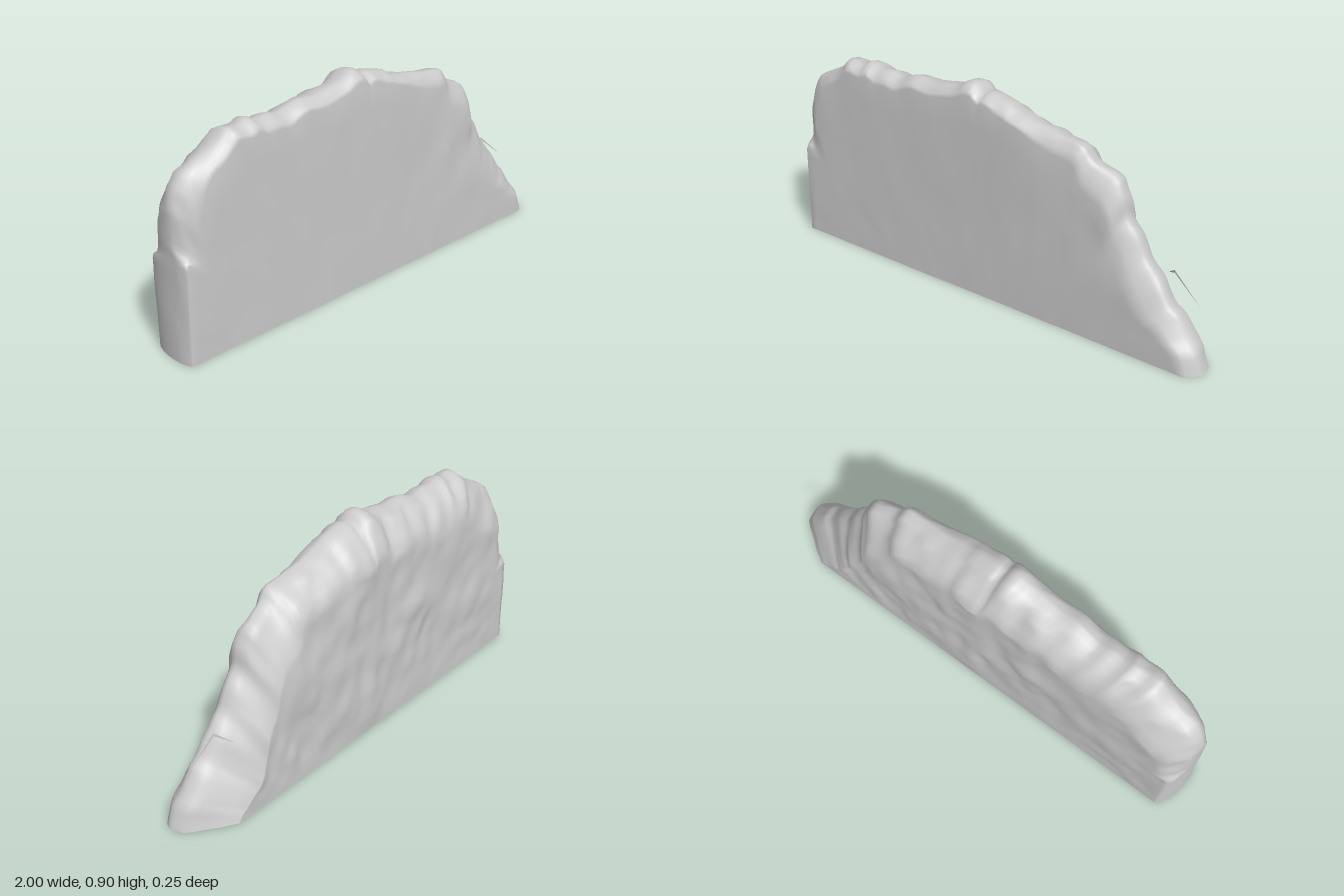
import * as THREE from 'three';

const { smoothstep: smooth, lerp } = THREE.MathUtils;

// Seeded value noise, -1..1
function hash(i, j, seed) {
  const h = Math.sin(i * 127.1 + j * 311.7 + seed * 74.7) * 43758.5453;
  return (h - Math.floor(h)) * 2 - 1;
}
function noise(x, y, seed) {
  const i = Math.floor(x), j = Math.floor(y);
  const u = smooth(x - i, 0, 1), v = smooth(y - j, 0, 1);
  return lerp(
    lerp(hash(i, j, seed), hash(i + 1, j, seed), u),
    lerp(hash(i, j + 1, seed), hash(i + 1, j + 1, seed), u), v);
}
// Broad lumps with smaller chips on top
const rough = (x, y, seed) => 0.65 * noise(x * 7, y * 7, seed) + 0.35 * noise(x * 16, y * 16, seed + 5);

// Silhouette of the slab from its right foot, over the crest, to its left foot
const OUTLINE = [
  [0.995, 0], [0.965, 0.085], [0.92, 0.14], [0.87, 0.21], [0.84, 0.23], [0.79, 0.31],
  [0.72, 0.39], [0.68, 0.47], [0.63, 0.53], [0.62, 0.6], [0.58, 0.675], [0.47, 0.72],
  [0.43, 0.775], [0.33, 0.785], [0.2, 0.81], [0.12, 0.83], [0.09, 0.85], [-0.02, 0.875],
  [-0.04, 0.86], [-0.08, 0.9], [-0.12, 0.895], [-0.16, 0.87], [-0.3, 0.845], [-0.39, 0.85],
  [-0.48, 0.82], [-0.53, 0.835], [-0.6, 0.83], [-0.64, 0.85], [-0.68, 0.83], [-0.75, 0.84],
  [-0.81, 0.785], [-0.88, 0.75], [-0.94, 0.72], [-0.98, 0.67], [-1, 0.6], [-1, 0.45],
  [-1, 0.2], [-1, 0],
].map(([x, y]) => new THREE.Vector2(x, y));

const FRONT_ROWS = 8; // rows up the flat front
const BACK_ROWS = 18; // rows down the rough back
const EDGE_ROWS = 5;  // rows around each half of the worn edge

function frontZ(x, y) {
  const worn = smooth(x, 0.05, 0.4) * smooth(y, 0.2, 0.45);
  return lerp(0.106, 0.124, (x + 1) / 2) + 0.002 * rough(x, y, 3) + worn * (0.01 * rough(x, y, 8) - 0.008);
}
function backZ(x, y) {
  const lumpy = smooth(y, 0, 0.12) * lerp(0.5, 1, smooth(x, -0.7, -0.2));
  return -0.118 + 0.014 * smooth(y, 0.1, 0.75) + 0.019 * lumpy * rough(x, y, 6);
}

// One cross-section: up the front face, over the worn edge, down the back
function section(tip, t) {
  const { x, y } = tip;
  const base = new THREE.Vector2(lerp(0.72, -0.78, t), 0);
  const dir = tip.clone().sub(base);
  const length = dir.length();
  dir.normalize();
  const leftFoot = smooth(-x, 0.85, 1) * (1 - smooth(y, 0.4, 0.46));
  const leftTop = smooth(-x, 0.85, 1) - leftFoot;
  const slope = smooth(x, 0.25, 0.6) * smooth(y, 0, 0.3);
  const frontInset = 0.05 + 0.05 * slope + 0.055 * leftTop - 0.038 * leftFoot
    + 0.025 * (1 - leftFoot) * rough(x, y, 1);
  const backInset = lerp(0.16, 0.12, smooth(x, -0.2, 0.1) * smooth(y, 0, 0.3)) + 0.07 * slope
    - 0.11 * leftFoot + 0.05 * (1 - leftFoot) * rough(x, y, 2);
  const crestZ = lerp(0.045 + 0.02 * rough(x, y, 4), 0.02, leftTop);
  const frontEnd = length - Math.max(0.01, frontInset);
  const backEnd = length - Math.max(0.03, backInset);
  const points = [];
  const add = (r, face, frac) => {
    const px = base.x + dir.x * r, py = base.y + dir.y * r;
    points.push([px, py, lerp(crestZ, face(px, py), frac)]);
  };
  // Worn edge: between a round and a straight bevel, with small chips
  const addEdge = (end, face, k, chip) => {
    const a = k / EDGE_ROWS * Math.PI / 2;
    const chips = chip * (1 - leftFoot) * Math.sin(2 * a) * noise(x * 18 + y * 11, k * 0.7, 9);
    add(lerp(end, length, Math.sin(a)), face, lerp(Math.cos(a), 1 - Math.sin(a), 0.3) + chips);
  };
  for (let j = 0; j < FRONT_ROWS; j++) add(frontEnd * j / FRONT_ROWS, frontZ, 1);
  for (let k = 0; k <= EDGE_ROWS; k++) addEdge(frontEnd, frontZ, k, 0.1);
  for (let k = EDGE_ROWS - 1; k >= 0; k--) addEdge(backEnd, backZ, k, 0.15);
  for (let j = BACK_ROWS - 1; j >= 0; j--) add(backEnd * j / BACK_ROWS, backZ, 1);
  return points;
}

// Hollow shell, open underneath
function slabGeometry() {
  const count = 140;
  const sections = new THREE.Path(OUTLINE).getSpacedPoints(count).slice(0, count + 1)
    .map((p, i) => section(p, i / count));
  const rows = sections[0].length;
  const index = [];
  for (let i = 0; i < count; i++) {
    for (let j = 0; j < rows - 1; j++) {
      const a = i * rows + j, b = a + rows;
      index.push(a, a + 1, b, b, a + 1, b + 1);
    }
  }
  const geometry = new THREE.BufferGeometry();
  geometry.setAttribute('position', new THREE.Float32BufferAttribute(sections.flat(2), 3));
  geometry.setIndex(index);
  geometry.computeVertexNormals();
  return geometry;
}

// Thin bent splinter sticking out of the sloping side
function splinterGeometry() {
  const geometry = new THREE.BufferGeometry();
  geometry.setAttribute('position', new THREE.Float32BufferAttribute([
    0.75, 0.3, -0.06, 0.81, 0.35, -0.005, 0.81, 0.338, -0.005,
    0.81, 0.35, -0.005, 0.935, 0.24, 0.008, 0.81, 0.338, -0.005,
  ], 3));
  geometry.computeVertexNormals();
  return geometry;
}

export function createModel() {
  const group = new THREE.Group();
  group.name = 'rockSlab';
  const material = new THREE.MeshStandardMaterial({ color: 0xcccccc, side: THREE.DoubleSide });
  const slab = new THREE.Mesh(slabGeometry(), material);
  slab.name = 'slab';
  const splinter = new THREE.Mesh(splinterGeometry(), material);
  splinter.name = 'splinter';
  group.add(slab, splinter);
  return group;
}
